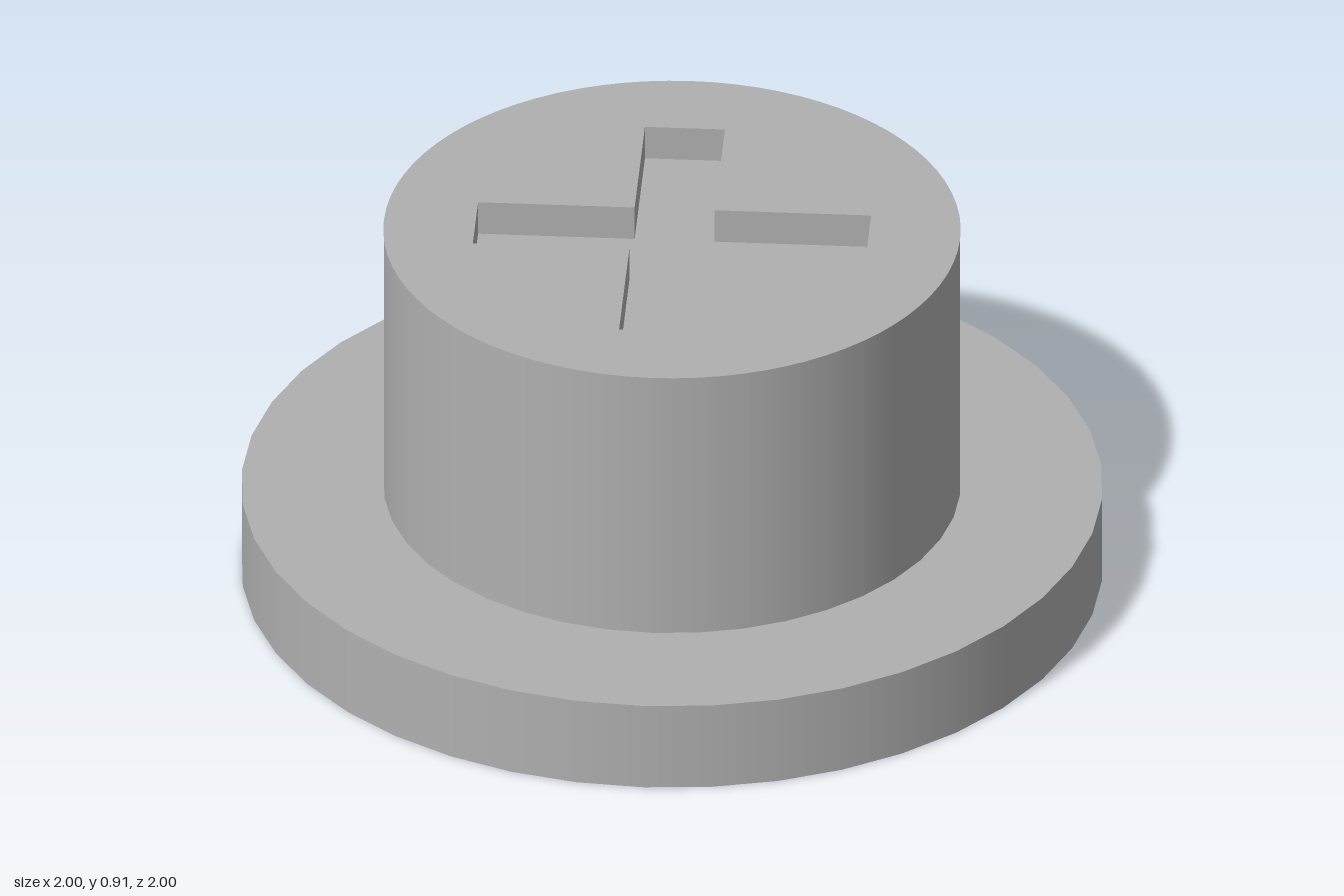
import * as THREE from 'three';

const SIDES = 40;
const FLANGE_H = 0.22, HEAD_R = 0.67, TOP = 0.91;
const SLOT_HALF = 0.093, SLOT_LEN = 0.457, SLOT_DEPTH = 0.085;

export function createModel() {
  const model = new THREE.Group();
  model.name = 'crossSlotPlug';
  const grey = new THREE.MeshStandardMaterial({ color: 0xb0b0b0 });
  grey.name = 'grey';

  const add = (parent, name, geometry, y) => {
    const mesh = new THREE.Mesh(geometry, grey);
    mesh.name = name;
    mesh.position.y = y;
    parent.add(mesh);
    return mesh;
  };

  // Wide base flange
  add(model, 'flange', new THREE.CylinderGeometry(1, 1, FLANGE_H, SIDES), FLANGE_H / 2);

  // Side of the head
  const headH = TOP - FLANGE_H;
  add(model, 'headSide', new THREE.CylinderGeometry(HEAD_R, HEAD_R, headH, SIDES, 1, true), FLANGE_H + headH / 2);

  // Cross outline, counter-clockwise: three corners per arm
  const cross = [];
  for (let i = 0; i < 4; i++) {
    for (const [x, y] of [[SLOT_LEN, -SLOT_HALF], [SLOT_LEN, SLOT_HALF], [SLOT_HALF, SLOT_HALF]]) {
      cross.push(new THREE.Vector2(x, y).rotateAround(new THREE.Vector2(), i * Math.PI / 2));
    }
  }

  // Top of the head with the cross cut out
  const disc = new THREE.Shape().absarc(0, 0, HEAD_R, 0, Math.PI * 2);
  disc.holes.push(new THREE.Path(cross));
  add(model, 'headTop', new THREE.ShapeGeometry(disc, SIDES).rotateX(-Math.PI / 2), TOP);

  // Recess: floor plus one wall for each edge of the cross
  const recess = new THREE.Group();
  recess.name = 'crossRecess';
  model.add(recess);
  add(recess, 'recessFloor', new THREE.ShapeGeometry(new THREE.Shape(cross)).rotateX(-Math.PI / 2), TOP - SLOT_DEPTH);
  cross.forEach((a, i) => {
    const b = cross[(i + 1) % cross.length];
    const wall = add(recess, 'recessWall', new THREE.PlaneGeometry(a.distanceTo(b), SLOT_DEPTH), TOP - SLOT_DEPTH / 2);
    wall.position.x = (a.x + b.x) / 2;
    wall.position.z = -(a.y + b.y) / 2;
    wall.rotation.y = Math.atan2(a.y - b.y, a.x - b.x);
  });

  return model;
}
